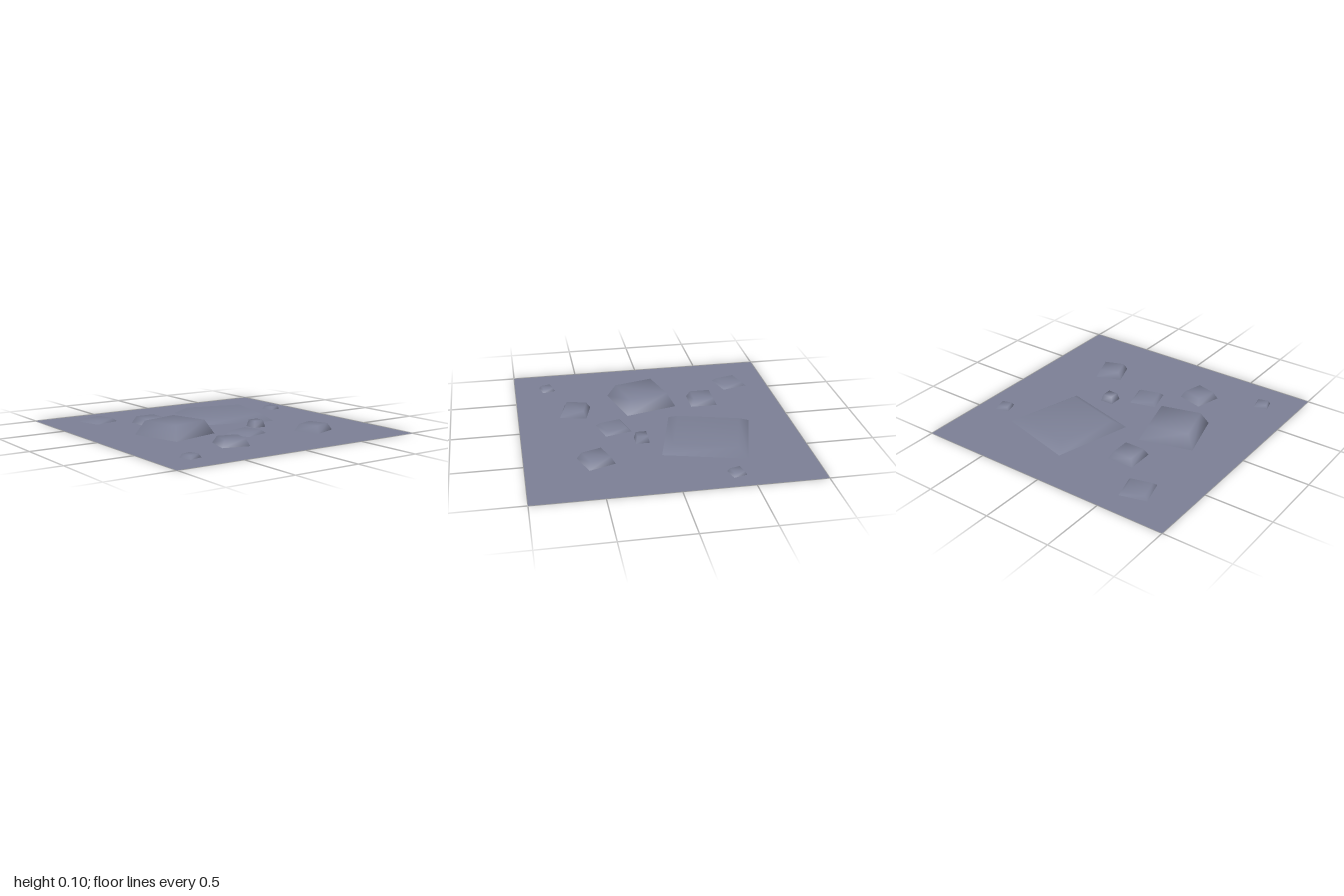
import * as THREE from 'three';

const stone = new THREE.MeshStandardMaterial({ color: 0x7c8096, side: THREE.DoubleSide });
stone.name = 'slate grey';

// Open-bottomed block tapering to a smaller top, with shared corners for smooth shading
function taperedBlock(size, height, taper = 0.75) {
  const points = [];
  for (const [half, y] of [[size / 2, 0], [size / 2 * taper, height]]) {
    for (const [sx, sz] of [[-1, 1], [1, 1], [1, -1], [-1, -1]]) points.push(sx * half, y, sz * half);
  }
  const index = [4, 5, 6, 4, 6, 7];
  for (let i = 0; i < 4; i++) {
    const j = (i + 1) % 4;
    index.push(i, j, j + 4, i, j + 4, i + 4);
  }
  const geometry = new THREE.BufferGeometry();
  geometry.setAttribute('position', new THREE.Float32BufferAttribute(points, 3));
  geometry.setIndex(index);
  geometry.computeVertexNormals();
  return geometry;
}

export function createModel() {
  const model = new THREE.Group();
  model.name = 'rockyGround';

  // Flat square ground
  const ground = new THREE.Mesh(new THREE.PlaneGeometry(2, 2).rotateX(-Math.PI / 2), stone);
  ground.name = 'ground';
  model.add(ground);

  // Raised stones: name, x, z, size, height, turn in degrees
  const stones = [
    ['broadSlab', 0.28, -0.325, 0.6, 0.05, -15],
    ['tallStone', -0.405, 0.045, 0.4, 0.1, 15],
    ['backStone', -0.33, -0.42, 0.2, 0.05, 0],
    ['frontRightStone', -0.29, 0.57, 0.2, 0.05, -15],
    ['frontLeftStone', 0.495, 0.505, 0.2, 0.05, 20],
    ['backLowStone', -0.615, -0.71, 0.2, 0.025, 15],
    ['middleLowStone', 0.025, 0.32, 0.2, 0.025, 15],
    ['smallTallStone', 0.245, 0.145, 0.1, 0.05, 0],
    ['frontPebble', -0.74, 0.75, 0.1, 0.025, 15],
    ['backPebble', 0.825, -0.41, 0.1, 0.025, 15],
  ];
  for (const [name, x, z, size, height, turn] of stones) {
    const mesh = new THREE.Mesh(taperedBlock(size, height), stone);
    mesh.name = name;
    mesh.position.set(x, 0, z);
    mesh.rotation.y = THREE.MathUtils.degToRad(turn);
    model.add(mesh);
  }
  return model;
}
